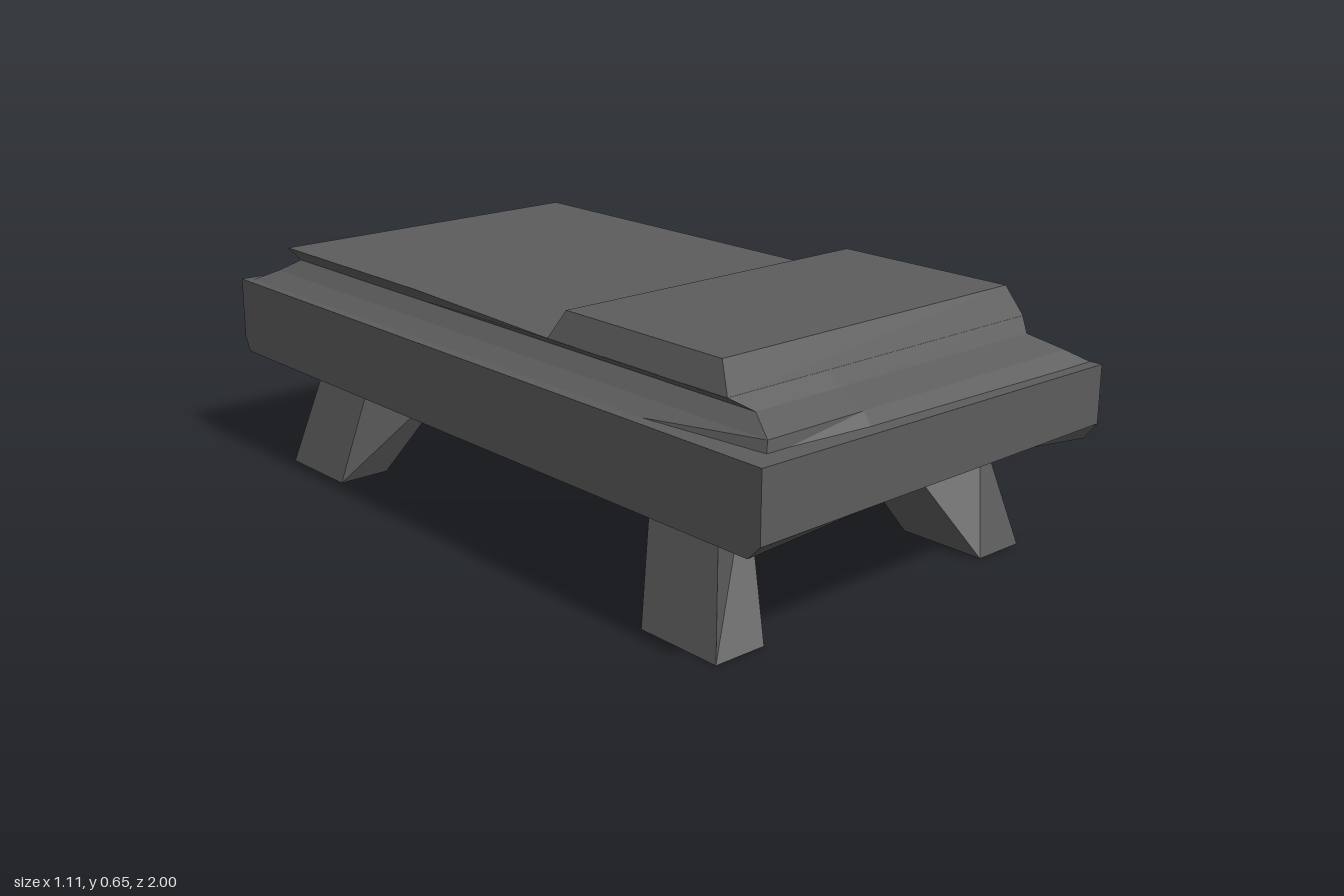
import * as THREE from 'three';

const material = new THREE.MeshStandardMaterial({ color: 0x5c5c5c, flatShading: true, side: THREE.DoubleSide });

// Closed solid through rings of [x, y, z], bottom to top, each counter-clockwise seen from above
function loft(name, rings) {
  const pos = [];
  const tri = (a, b, c) => pos.push(...a, ...b, ...c);
  const n = rings[0].length;
  const middle = (ring) => [0, 1, 2].map((k) => ring.reduce((sum, p) => sum + p[k], 0) / n);
  const bottom = rings[0], top = rings[rings.length - 1];
  const bottomMid = middle(bottom), topMid = middle(top);
  for (let i = 0; i < n; i++) {
    const j = (i + 1) % n;
    for (let r = 0; r < rings.length - 1; r++) {
      const lo = rings[r], hi = rings[r + 1];
      tri(lo[i], lo[j], hi[j]);
      tri(lo[i], hi[j], hi[i]);
    }
    tri(bottomMid, bottom[j], bottom[i]);
    tri(topMid, top[i], top[j]);
  }
  const g = new THREE.BufferGeometry();
  g.setAttribute('position', new THREE.Float32BufferAttribute(pos, 3));
  g.computeVertexNormals();
  const mesh = new THREE.Mesh(g, material);
  mesh.name = name;
  return mesh;
}

const rect = (y, xL, xR, zB, zF) => [[xR, y, zF], [xR, y, zB], [xL, y, zB], [xL, y, zF]];

// Mattress outline: the -x side steps out by `flare` towards the pillow end
const outline = (y, xL, xR, zB, zF, flare = 0) => [
  [xR, y, zF], [xR, y, -0.5], [xR, y, zB], [0.27, y, zB],
  [xL, y, zB], [xL, y, -0.3], [xL - flare, y, 0.25], [xL - flare, y, zF], [-0.2, y, zF],
];

// Skirt foot, drawn in at two opposite corners
const skirt = [
  [0.55, 0.97], [0.545, -0.5], [0.497, -0.938], [0.27, -0.98],
  [-0.55, -0.99], [-0.545, -0.3], [-0.54, 0.5], [-0.49, 0.947], [-0.2, 0.967],
].map(([x, z]) => [x, 0.488, z]);

// Frame edge points: x, z of the underside, then y and z of the lower edge of the side
const framePoints = [
  [0.555, 0.965, 0.342, 1], [0.555, -1, 0.3, -1],
  [0.06, -0.8, 0.33, -1], [-0.2, -0.81, 0.335, -1], [-0.555, -0.98, 0.335, -1],
  [-0.555, 0.965, 0.332, 1], [-0.25, 0.87, 0.335, 1], [0.05, 0.83, 0.337, 1],
];

// Splayed leg: square foot, wider skewed top; sx and sz choose the corner
function leg(name, sx, sz) {
  const foot = [[0.507, 0.84], [0.507, 0.603], [0.365, 0.603], [0.365, 0.84]];
  const head = [[0.433, 0.765], [0.433, 0.55], [0.228, 0.43], [0.228, 0.64]];
  const ring = (pts, y) => {
    const out = pts.map(([x, z]) => [sx * x, y, sz * z + (sz < 0 ? -0.015 : -0.01)]);
    return sx * sz < 0 ? out.reverse() : out;
  };
  return loft(name, [ring(foot, 0), ring(head, 0.3)]);
}

export function createModel() {
  const bed = new THREE.Group();
  bed.name = 'bed';

  // Frame slab with bowed bevels under the two ends and a slightly tilted top
  bed.add(loft('frame', [
    framePoints.map(([x, z]) => [x, 0.297, z]),
    framePoints.map(([x, , y, z]) => [x, y, z]),
    framePoints.map(([x, , , z]) => [x, 0.492 - 0.009 * x, z]),
  ]));

  // Mattress: sloping skirt, pinched neck, overhanging cover
  bed.add(loft('mattress', [
    skirt,
    outline(0.522, -0.48, 0.49, -0.93, 0.94),
    outline(0.556, -0.445, 0.437, -0.87, 0.87),
    outline(0.586, -0.462, 0.465, -0.905, 0.835, 0.028),
  ]));

  // Pillow block with sloping sides
  bed.add(loft('pillow', [
    rect(0.585, -0.49, 0.467, 0.255, 0.835),
    rect(0.653, -0.463, 0.453, 0.29, 0.79),
  ]));

  for (const [side, sx] of [['Left', 1], ['Right', -1]]) {
    bed.add(leg(`front${side}Leg`, sx, 1), leg(`back${side}Leg`, sx, -1));
  }
  return bed;
}
